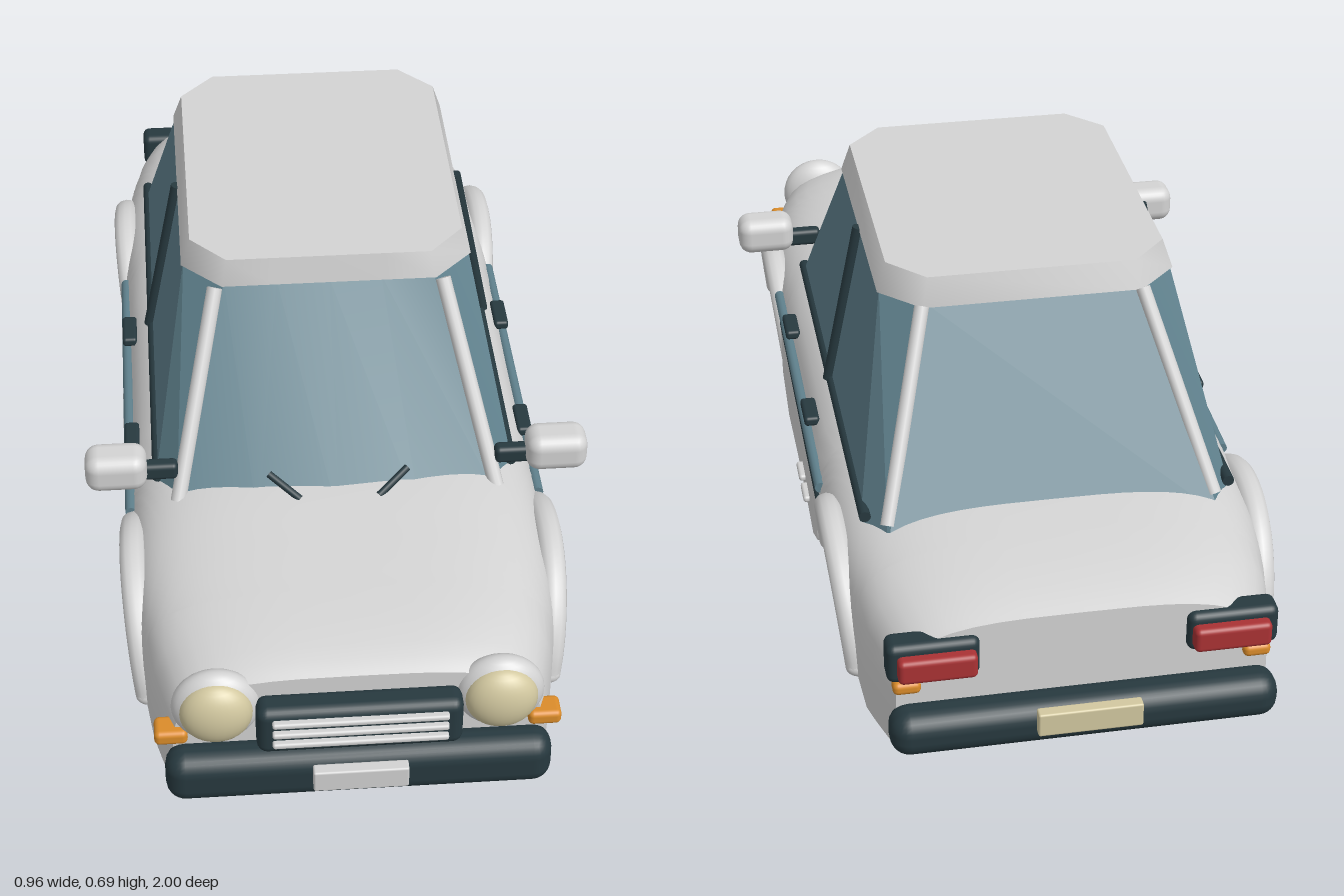
import * as THREE from 'three';
import { toCreasedNormals } from 'three/addons/utils/BufferGeometryUtils.js';
import { RoundedBoxGeometry } from 'three/addons/geometries/RoundedBoxGeometry.js';

const V = (x, y, z) => new THREE.Vector3(x, y, z);
const material = (name, color) => Object.assign(new THREE.MeshStandardMaterial({ color }), { name });

// Skin between closed rings, with fan caps at both ends
function loft(rings, crease) {
  const n = rings[0].length, pos = [], index = [];
  rings.forEach(r => r.forEach(p => pos.push(p.x, p.y, p.z)));
  for (let i = 0; i < rings.length - 1; i++) {
    for (let j = 0; j < n; j++) {
      const a = i * n + j, b = i * n + (j + 1) % n, c = b + n, d = a + n;
      index.push(a, d, c, a, c, b);
    }
  }
  [0, rings.length - 1].forEach((r, end) => {
    const mid = rings[r].reduce((s, p) => s.add(p), V(0, 0, 0)).divideScalar(n);
    const m = pos.length / 3;
    pos.push(mid.x, mid.y, mid.z);
    for (let j = 0; j < n; j++) {
      const a = r * n + j, b = r * n + (j + 1) % n;
      end ? index.push(m, b, a) : index.push(m, a, b);
    }
  });
  const g = new THREE.BufferGeometry();
  g.setAttribute('position', new THREE.Float32BufferAttribute(pos, 3));
  g.setIndex(index);
  return toCreasedNormals(g, crease);
}

// Body stations: z, half width, top height
const SPINE = new THREE.CatmullRomCurve3([
  V(0.92, 0.335, 0.275), V(0.89, 0.346, 0.287), V(0.8, 0.37, 0.303), V(0.7, 0.39, 0.312), V(0.6, 0.402, 0.32),
  V(0.45, 0.405, 0.33), V(0, 0.402, 0.332), V(-0.45, 0.405, 0.33), V(-0.6, 0.402, 0.324),
  V(-0.7, 0.39, 0.315), V(-0.8, 0.372, 0.302), V(-0.88, 0.349, 0.284), V(-0.92, 0.335, 0.27),
]).getPoints(200);
function station(z) {
  let i = 1;
  while (i < SPINE.length - 1 && SPINE[i].x > z) i++;
  const a = SPINE[i - 1], b = SPINE[i];
  return a.clone().lerp(b, THREE.MathUtils.clamp((a.x - z) / (a.x - b.x), 0, 1));
}

// Wheel arches: centre distance, height and radius
const AZ = 0.532, AY = 0.045, AR = 0.205;
function underside(z) {
  const d = Math.abs(z) - AZ;
  if (Math.abs(d) <= 0.2035) return AY + Math.sqrt(AR * AR - d * d);
  return Math.max(0, 0.07 * (1 - (Math.abs(d) - 0.2035) / (d > 0 ? 0.065 : 0.1)));
}
const bulge = s => Math.pow(Math.max(0, 1 - Math.pow(s, 6)), 0.29);

function bodyGeometry() {
  const half = [0.92, 0.91, 0.89, 0.86, 0.83, 0.8];
  for (let i = 0; i <= 28; i++) half.push(AZ + AR * Math.cos(0.12 + (i / 28) * (Math.PI - 0.24)));
  half.push(0.228, 0.15, 0.08);
  const zs = [...half, 0, ...half.map(z => -z).reverse()];
  const steps = [0, 0.15, 0.3, 0.45, 0.6, 0.7, 0.78, 0.85, 0.9, 0.94, 0.97, 0.988, 0.997];
  return loft(zs.map(z => {
    const { y: w, z: top } = station(z), b = underside(z);
    const chamfer = 0.02 * Math.max(0, 1 - b / 0.06);
    const side = [V(w * (chamfer > 0 ? 0.8 : 0.9) * bulge(b / top), b, z)];
    for (const u of steps) {
      const y = b + chamfer + (top - b - chamfer) * u;
      side.push(V(w * bulge(y / top), y, z));
    }
    const other = side.map(p => V(-p.x, p.y, z)).reverse();
    return [V(0, b, z), ...side, V(0, top, z), ...other];
  }), 0.8);
}

// Eight-cornered plan outline with an optional bowed front
const outline = (y, X, x, zf, zr, c, bow = 0) => [
  V(X, y, zf - c), V(X, y, zr + c), V(x, y, zr), V(-x, y, zr), V(-X, y, zr + c), V(-X, y, zf - c),
  V(-x, y, zf), V(-x / 2, y, zf + bow * 0.75), V(0, y, zf + bow), V(x / 2, y, zf + bow * 0.75), V(x, y, zf),
];

export function createModel() {
  const car = new THREE.Group();
  car.name = 'carBody';
  const paint = material('bodyGrey', 0xd3d3d3), chrome = material('chrome', 0xd2d2d2);
  const dark = material('darkTrim', 0x27393f), glass = material('glass', 0x5f808c);
  const lens = material('cream', 0xd2c8a0), orange = material('orange', 0xdb8c2a), red = material('red', 0xaa3234);

  const add = (name, geometry, mat, x = 0, y = 0, z = 0) => {
    const m = new THREE.Mesh(geometry, mat);
    m.name = name;
    m.position.set(x, y, z);
    car.add(m);
    return m;
  };
  const box = (name, mat, w, h, d, x, y, z, r = 0.01) =>
    add(name, new RoundedBoxGeometry(w, h, d, 3, r), mat, x, y, z);
  const rod = (name, mat, a, b, r, sides = 12) => {
    const m = add(name, new THREE.CylinderGeometry(r, r, a.distanceTo(b), sides), mat);
    m.position.copy(a).lerp(b, 0.5);
    m.quaternion.setFromUnitVectors(V(0, 1, 0), b.clone().sub(a).normalize());
    return m;
  };
  const ball = (name, mat, rx, ry, rz, x, y, z) =>
    add(name, new THREE.SphereGeometry(1, 28, 18), mat, x, y, z).scale.set(rx, ry, rz);

  // Shell, windows and roof
  add('bodyShell', bodyGeometry(), paint);
  add('windows', loft([
    outline(0.64, 0.275, 0.2, 0.225, -0.435, 0.075),
    outline(0.27, 0.35, 0.31, 0.47, -0.67, 0.08, 0.05),
  ], 0.3), glass);
  add('roof', loft([
    outline(0.69, 0.262, 0.195, 0.225, -0.43, 0.072),
    outline(0.635, 0.28, 0.205, 0.235, -0.445, 0.075),
  ], 0.9), paint);

  // Grille with three bars
  box('grille', dark, 0.37, 0.105, 0.06, 0, 0.188, 0.94, 0.02);
  for (const y of [0.168, 0.193, 0.218]) box('grilleBar', chrome, 0.315, 0.012, 0.02, 0, y, 0.972, 0.005);

  // Bumpers and number plates
  box('frontBumper', dark, 0.7, 0.105, 0.08, 0, 0.077, 0.94, 0.036);
  box('rearBumper', dark, 0.7, 0.085, 0.085, 0, 0.072, -0.938, 0.036);
  box('frontPlate', chrome, 0.172, 0.047, 0.024, 0, 0.089, 0.986, 0.004);
  box('rearPlate', lens, 0.188, 0.047, 0.024, 0, 0.092, -0.986, 0.004);

  for (const s of [1, -1]) {
    // Headlights and indicators
    ball('headlightHousing', paint, 0.08, 0.08, 0.042, s * 0.255, 0.215, 0.913);
    ball('headlightLens', lens, 0.066, 0.066, 0.04, s * 0.255, 0.218, 0.933);
    box('frontIndicator', orange, 0.06, 0.03, 0.05, s * 0.337, 0.155, 0.913);
    box('rearIndicator', orange, 0.05, 0.025, 0.035, s * 0.315, 0.153, -0.917);

    // Tail lights
    box('tailLightHousing', dark, 0.165, 0.078, 0.055, s * 0.268, 0.208, -0.91, 0.015);
    box('tailLight', red, 0.14, 0.048, 0.035, s * 0.263, 0.205, -0.942);

    // Roof pillars and window trim
    rod('frontPillar', paint, V(s * 0.305, 0.295, 0.455), V(s * 0.218, 0.63, 0.23), 0.015);
    rod('rearPillar', paint, V(s * 0.305, 0.3, -0.64), V(s * 0.207, 0.635, -0.438), 0.014);
    rod('doorPillar', dark, V(s * 0.348, 0.3, -0.1), V(s * 0.28, 0.638, -0.108), 0.012);
    rod('windowSill', dark, V(s * 0.342, 0.3, 0.39), V(s * 0.342, 0.3, -0.605), 0.011);

    // Wipers and mirrors
    rod('wiper', dark, V(s * 0.132, 0.358, 0.462), V(s * 0.075, 0.325, 0.5), 0.007);
    box('mirrorArm', dark, 0.08, 0.036, 0.03, s * 0.343, 0.352, 0.425);
    box('mirror', paint, 0.117, 0.077, 0.078, s * 0.42, 0.367, 0.43, 0.026);

    // Door handles, sill clips and side mouldings
    for (const z of [0.21, -0.14]) box('doorHandle', dark, 0.03, 0.02, 0.083, s * 0.392, 0.25, z, 0.007);
    for (const z of [-0.06, -0.14]) box('sillClip', chrome, 0.03, 0.014, 0.06, s * 0.4, 0.06, z, 0.006);
    rod('sideMoulding', glass, V(s * 0.398, 0.223, 0.4), V(s * 0.398, 0.212, -0.36), 0.011);
    rod('sideStrip', dark, V(s * 0.4, 0.205, 0.31), V(s * 0.4, 0.178, -0.49), 0.008);

    // Wheel arch flares, leaning outward towards the top
    for (const zc of [AZ, -AZ]) {
      const path = [], stretch = 1.3;
      for (let i = 0; i <= 16; i++) {
        const a = 0.1 + (i / 16) * (Math.PI - 0.2);
        path.push(V(s * (0.374 + 0.022 * Math.sin(a)) / stretch, AY + AR * Math.sin(a), zc + AR * Math.cos(a)));
      }
      const flare = new THREE.TubeGeometry(new THREE.CatmullRomCurve3(path), 40, 0.019, 12);
      add('archFlare', flare.scale(stretch, 1, 1), paint);
      for (const p of [path[0], path[16]])
        ball('archFlareEnd', paint, 0.019 * stretch, 0.019, 0.019, p.x * stretch, p.y, p.z);
    }
  }
  return car;
}
